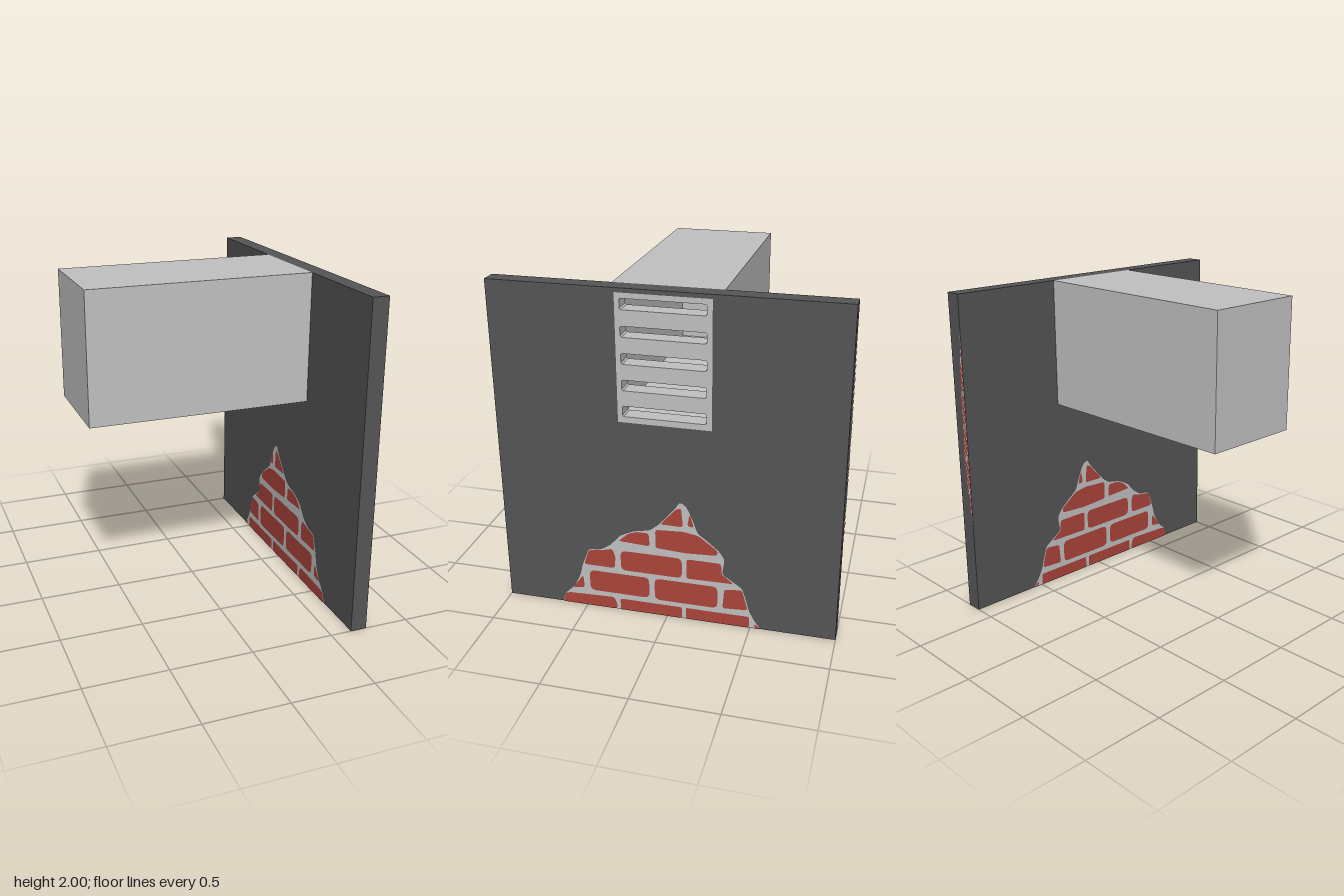
import * as THREE from 'three';

const grey = new THREE.MeshStandardMaterial({ color: 0xc1c1c1, side: THREE.DoubleSide });
grey.name = 'lightGrey';
const dark = new THREE.MeshStandardMaterial({ color: 0x555556 });
dark.name = 'darkGrey';
const red = new THREE.MeshStandardMaterial({ color: 0xab443a, side: THREE.DoubleSide });
red.name = 'brickRed';

const WALL_FRONT = 0.73, WALL_BACK = 0.63;

function mesh(name, geometry, material) {
  const m = new THREE.Mesh(geometry, material);
  m.name = name;
  return m;
}

// rectangle in the (z, y) plane
function rect(z0, z1, y0, y1, Type = THREE.Shape, cut = 0) {
  const p = [[z0 + cut, y0], [z1 - cut, y0], [z1, y0 + cut], [z1, y1 - cut],
    [z1 - cut, y1], [z0 + cut, y1], [z0, y1 - cut], [z0, y0 + cut]];
  const corners = cut ? p : [p[0], p[1], p[4], p[5]];
  return new Type(corners.map(([a, b]) => new THREE.Vector2(a, b)));
}

// slab through the wall thickness, shape x becomes z
function slab(shape) {
  return new THREE.ExtrudeGeometry(shape, { depth: WALL_FRONT - WALL_BACK, bevelEnabled: false })
    .rotateY(-Math.PI / 2).translate(WALL_FRONT, 0, 0);
}

// polygon with softened corners
function softShape(points, r) {
  const v = points.map(([a, b]) => new THREE.Vector2(a, b));
  const s = new THREE.Shape();
  v.forEach((p, i) => {
    const toward = (q) => {
      const d = q.clone().sub(p), l = d.length();
      return p.clone().addScaledVector(d, Math.min(r, l * 0.45) / l);
    };
    const a = toward(v[(i + v.length - 1) % v.length]);
    const b = toward(v[(i + 1) % v.length]);
    if (i === 0) s.moveTo(a.x, a.y); else s.lineTo(a.x, a.y);
    s.quadraticCurveTo(p.x, p.y, b.x, b.y);
  });
  s.closePath();
  return s;
}

// exposed mortar outline, (z, y)
const MORTAR = [
  [0.66, 0], [0.64, 0.06], [0.58, 0.12], [0.54, 0.2], [0.52, 0.28], [0.48, 0.39], [0.4, 0.4],
  [0.34, 0.44], [0.28, 0.51], [0.2, 0.55], [0.1, 0.57], [0.05, 0.61], [-0.02, 0.69],
  [-0.06, 0.74], [-0.08, 0.775], [-0.115, 0.76], [-0.14, 0.71], [-0.16, 0.66], [-0.185, 0.59],
  [-0.25, 0.54], [-0.31, 0.49], [-0.345, 0.44], [-0.33, 0.34], [-0.39, 0.3], [-0.45, 0.26],
  [-0.475, 0.18], [-0.49, 0.12], [-0.52, 0.06], [-0.555, 0.01], [-0.555, 0]];

// bricks cut by the broken edge, (z, y)
const CUT_BRICKS = [
  [[0.655, 0], [0.64, 0.06], [0.61, 0.07], [0.33, 0.08], [0.312, 0.04], [0.312, 0]],
  [[-0.53, 0], [-0.525, 0.035], [-0.553, 0.01], [-0.553, 0]],
  [[0.59, 0.11], [0.52, 0.205], [0.515, 0.12]],
  [[-0.335, 0.11], [-0.345, 0.24], [-0.45, 0.25], [-0.485, 0.12]],
  [[0.51, 0.285], [0.48, 0.385], [0.4, 0.395], [0.33, 0.415], [0.312, 0.36], [0.32, 0.285]],
  [[-0.12, 0.28], [-0.12, 0.41], [-0.325, 0.41], [-0.328, 0.34], [-0.4, 0.285]],
  [[0.29, 0.475], [0.23, 0.53], [0.18, 0.55], [0.105, 0.55], [0.1, 0.465]],
  [[0.065, 0.46], [0.065, 0.58], [-0.1, 0.59], [-0.19, 0.575], [-0.305, 0.49], [-0.3, 0.46], [-0.12, 0.45]],
  [[0.035, 0.62], [-0.06, 0.73], [-0.09, 0.74], [-0.1, 0.62]],
  [[-0.125, 0.63], [-0.14, 0.71], [-0.165, 0.625]]];

// whole bricks: z left, z right, y bottom, y top
const WHOLE_BRICKS = [
  [0.29, -0.09, 0, 0.075], [-0.115, -0.495, 0, 0.075],
  [0.478, 0.108, 0.11, 0.248], [0.075, -0.305, 0.105, 0.25],
  [0.28, -0.092, 0.278, 0.41]];

// flat brickwork lying in the plane x = 0
function brickPatch(name, side) {
  const g = new THREE.Group();
  g.name = name;
  const face = (shape, off) => new THREE.ShapeGeometry(shape, 5)
    .rotateY(-Math.PI / 2).translate(off * side, 0, 0);
  g.add(mesh('mortar', face(softShape(MORTAR, 0.02), 0.002), grey));
  for (const pts of CUT_BRICKS) g.add(mesh('cutBrick', face(softShape(pts, 0.018), 0.004), red));
  for (const [a, b, y0, y1] of WHOLE_BRICKS) {
    const r = y0 === 0 ? 0.012 : 0.035;
    const shape = softShape([[a, y0], [a, y1], [b, y1], [b, y0]], r);
    g.add(mesh('brick', face(shape, 0.004), red));
  }
  return g;
}

// box without its +x face
function openBox(x0, x1, y0, y1, z0, z1) {
  const geo = new THREE.BoxGeometry(x1 - x0, y1 - y0, z1 - z0);
  geo.translate((x0 + x1) / 2, (y0 + y1) / 2, (z0 + z1) / 2);
  geo.setIndex(Array.from(geo.index.array).slice(6));
  geo.clearGroups();
  return geo;
}

export function createModel() {
  const model = new THREE.Group();
  model.name = 'ventilatedWall';

  // wall panel with the vent opening
  const wall = rect(-1, 1, 0, 2);
  wall.holes.push(rect(-0.265, 0.268, 1.235, 1.975, THREE.Path));
  model.add(mesh('wall', slab(wall), dark));

  // slotted grille, flush in the wall
  const grille = rect(-0.265, 0.268, 1.235, 1.975);
  for (let i = 0; i < 5; i++) {
    const y = 1.27 + i * 0.153;
    grille.holes.push(rect(-0.235, 0.24, y, y + 0.062, THREE.Path, 0.008));
  }
  model.add(mesh('grille', slab(grille), grey));

  // duct: outer casing and a tapering inner cavity
  const duct = new THREE.Group();
  duct.name = 'duct';
  duct.add(mesh('ductCasing', openBox(-0.73, WALL_BACK, 1.21, 2, -0.31, 0.31), grey));
  const inner = openBox(-0.5, WALL_BACK, 1.24, 1.97, -0.262, 0.265);
  const p = inner.attributes.position;
  for (let i = 0; i < p.count; i++) {
    if (p.getX(i) > 0) continue;
    p.setY(i, p.getY(i) > 1.6 ? 1.87 : 1.34);
    p.setZ(i, p.getZ(i) > 0 ? 0.22 : -0.2);
  }
  inner.computeVertexNormals();
  duct.add(mesh('ductCavity', inner, grey));
  model.add(duct);

  // exposed brickwork on both faces
  const front = brickPatch('frontBrickwork', 1);
  front.position.x = WALL_FRONT;
  const back = brickPatch('backBrickwork', -1);
  back.position.x = WALL_BACK;
  model.add(front, back);

  // squeezed brickwork on the rear end of the wall, lying on its side
  const end = brickPatch('endBrickwork', 1);
  end.scale.set(1, 0.05, 1);
  end.rotation.set(0, Math.PI / 2, -Math.PI / 2, 'ZYX');
  const turned = new THREE.Matrix4().makeBasis(
    new THREE.Vector3(0, 0, -1), new THREE.Vector3(0.05, 0, 0), new THREE.Vector3(0, 1, 0));
  turned.setPosition(WALL_BACK, 1.12, -1);
  end.matrixAutoUpdate = false;
  end.matrix.copy(turned);
  model.add(end);

  return model;
}
